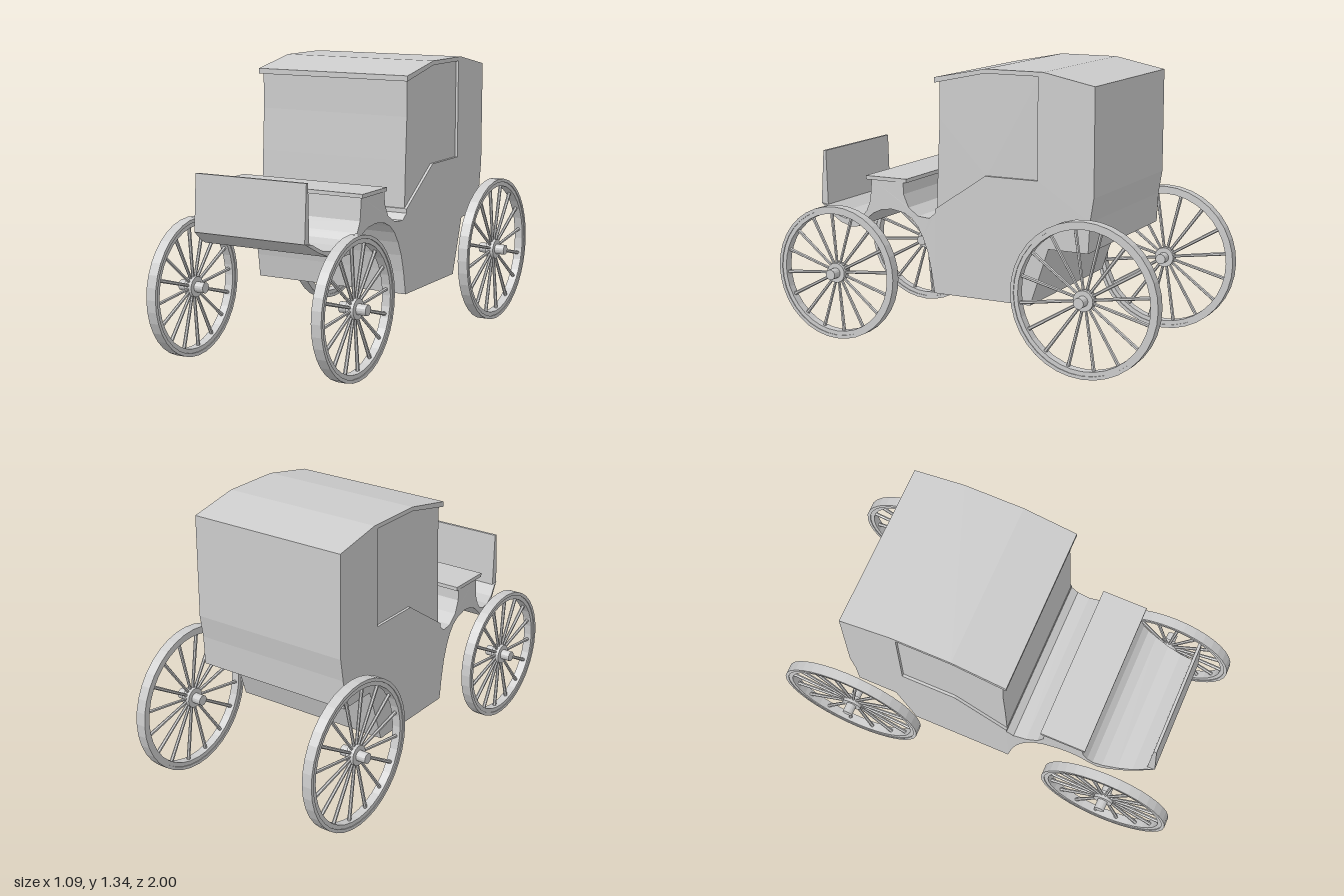
import * as THREE from 'three';

const material = new THREE.MeshStandardMaterial({
  color: 0xcccccc, flatShading: true, side: THREE.DoubleSide,
});

function addMesh(parent, name, geometry) {
  const mesh = new THREE.Mesh(geometry, material);
  mesh.name = name;
  parent.add(mesh);
  return mesh;
}

// Side profile of [z, y] points, swept across x with half-width halfWidth(z)
function sideProfile(points, halfWidth) {
  const shape = new THREE.Shape(points.map(([z, y]) => new THREE.Vector2(-z, y)));
  const geometry = new THREE.ExtrudeGeometry(shape, { depth: 2, bevelEnabled: false });
  geometry.translate(0, 0, -1).rotateY(Math.PI / 2);
  const pos = geometry.attributes.position;
  for (let i = 0; i < pos.count; i++) pos.setX(i, pos.getX(i) * halfWidth(pos.getZ(i)));
  geometry.computeVertexNormals();
  return geometry;
}

// Half-width of the bodywork narrowing towards the front
const TAPER = [[0.16, 0.4], [0.3, 0.386], [0.55, 0.364], [0.6, 0.357], [0.78, 0.31], [0.86, 0.285]];
function taper(z) {
  if (z <= TAPER[0][0]) return TAPER[0][1];
  for (let i = 1; i < TAPER.length; i++) {
    const [z0, w0] = TAPER[i - 1], [z1, w1] = TAPER[i];
    if (z <= z1) return w0 + (w1 - w0) * (z - z0) / (z1 - z0);
  }
  return TAPER[TAPER.length - 1][1];
}

// Spoked wheel turning on the x axis
function createWheel(name, radius, turn) {
  const wheel = new THREE.Group();
  wheel.name = name;
  const ring = (inner, outer, half) => new THREE.LatheGeometry(
    [[inner, -half], [outer, -half], [outer, half], [inner, half], [inner, -half]]
      .map(([r, h]) => new THREE.Vector2(r, h)), 36).rotateZ(Math.PI / 2);
  addMesh(wheel, 'tyre', ring(radius - 0.016, radius, 0.025));
  addMesh(wheel, 'rim', ring(radius - 0.036, radius - 0.014, 0.021));
  addMesh(wheel, 'hub', new THREE.CylinderGeometry(0.048, 0.048, 0.04, 20).rotateZ(Math.PI / 2));
  addMesh(wheel, 'axleEnd', new THREE.CylinderGeometry(0.025, 0.025, 0.135, 16).rotateZ(Math.PI / 2));
  const count = 16, start = 0.03, length = radius - 0.025 - start;
  for (let i = 0; i < count; i++) {
    const spoke = new THREE.CylinderGeometry(0.009, 0.007, length, 6);
    spoke.translate(0, start + length / 2, 0).rotateX(turn + i * 2 * Math.PI / count);
    addMesh(wheel, 'spoke', spoke);
  }
  return wheel;
}

export function createModel() {
  const carriage = new THREE.Group();
  carriage.name = 'carriage';

  // Cabin shell: floor, back and roof, open around the side panel
  addMesh(carriage, 'cabinShell', sideProfile([
    [0.157, 0.28], [-0.34, 0.28], [-0.43, 0.55], [-0.625, 0.55], [-0.632, 0.69],
    [-0.65, 0.8], [-0.65, 1.29], [-0.4, 1.34], [-0.11, 1.34], [0.15, 1.29],
    [0.15, 1.265], [-0.11, 1.32], [-0.375, 1.32], [-0.375, 0.855], [-0.11, 0.855],
    [0.15, 0.68],
  ], () => 0.4));

  // Recessed side panels and front wall
  addMesh(carriage, 'cabinPanels', sideProfile([
    [0.13, 1.275], [-0.11, 1.325], [-0.38, 1.325], [-0.38, 0.85], [-0.11, 0.85],
    [0.148, 0.67], [0.14, 0.9], [0.13, 1.1],
  ], () => 0.387));

  // Curved neck over the front wheel arch, rising into the driver's seat
  addMesh(carriage, 'seatBase', sideProfile([
    [0.15, 0.28], [0.157, 0.28], [0.175, 0.39], [0.194, 0.47], [0.22, 0.535],
    [0.25, 0.585], [0.285, 0.62], [0.33, 0.642], [0.4, 0.652], [0.46, 0.643],
    [0.51, 0.62], [0.547, 0.59], [0.547, 0.63], [0.525, 0.68], [0.515, 0.785],
    [0.332, 0.785], [0.33, 0.73], [0.302, 0.67], [0.247, 0.635], [0.185, 0.632],
    [0.15, 0.66],
  ], taper));
  const seat = addMesh(carriage, 'seatBoard', new THREE.BoxGeometry(0.77, 0.018, 0.222));
  seat.position.set(0, 0.794, 0.425);

  // Dished footboard and upright dashboard
  addMesh(carriage, 'footboard', sideProfile([
    [0.547, 0.63], [0.575, 0.6], [0.62, 0.582], [0.69, 0.573], [0.76, 0.584],
    [0.82, 0.62], [0.858, 0.626], [0.78, 0.578], [0.72, 0.55], [0.65, 0.538],
    [0.6, 0.546], [0.547, 0.59],
  ], taper));
  addMesh(carriage, 'dashboard', sideProfile([
    [0.858, 0.625], [0.842, 0.886], [0.828, 0.886], [0.82, 0.615],
  ], () => 0.285));

  // Wheels, larger and wider apart at the back
  for (const [side, s] of [['left', 1], ['right', -1]]) {
    const front = createWheel(side + 'FrontWheel', 0.323, 0.1);
    front.position.set(s * 0.425, 0.327, 0.677);
    const rear = createWheel(side + 'RearWheel', 0.355, 0.15);
    rear.position.set(s * 0.475, 0.36, -0.645);
    carriage.add(front, rear);
  }
  return carriage;
}
